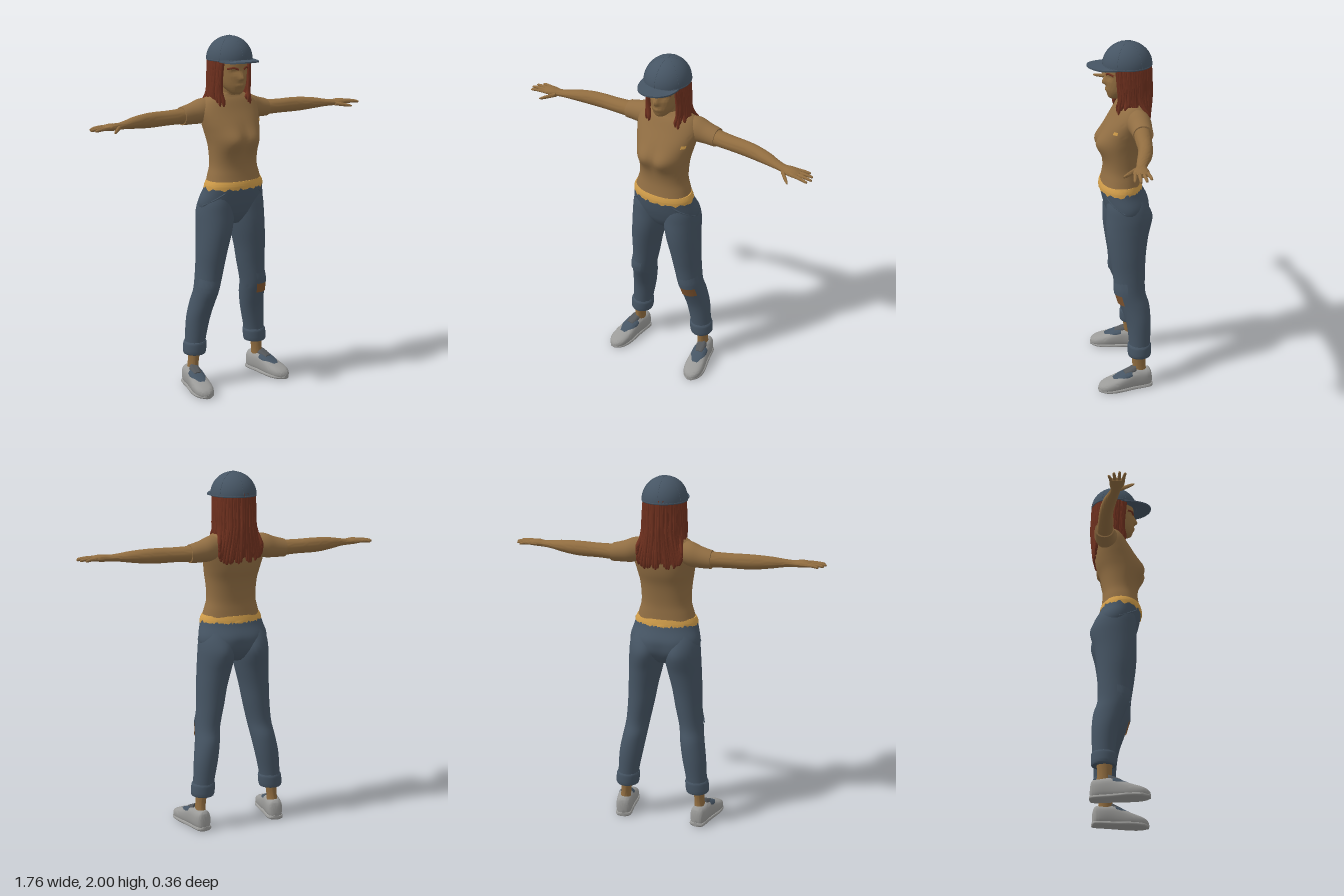
import * as THREE from 'three';
import { toCreasedNormals } from 'three/addons/utils/BufferGeometryUtils.js';

const mat = (name, color, side = THREE.FrontSide) => {
  const m = new THREE.MeshStandardMaterial({ color, side });
  m.name = name;
  return m;
};

// Catmull-Rom smoothing of rows of numbers
function smooth(rows, n) {
  const out = [], at = i => rows[Math.max(0, Math.min(rows.length - 1, i))];
  for (let i = 0; i < rows.length - 1; i++) {
    for (let k = 0; k < n; k++) {
      const t = k / n, [a, b, c, d] = [at(i - 1), at(i), at(i + 1), at(i + 2)];
      out.push(b.map((v, j) => 0.5 * (2 * v + (c[j] - a[j]) * t
        + (2 * a[j] - 5 * v + 4 * c[j] - d[j]) * t * t + (3 * v - a[j] - 3 * c[j] + d[j]) * t ** 3)));
    }
  }
  out.push(rows[rows.length - 1]);
  return out;
}

// Skin rows of [t, centreP, centreQ, radiusP, radiusQ] along an axis, t increasing.
// axis y: p = x, q = z; axis x: p = z, q = y; axis z: p = y, q = x
function loft(rows, { axis = 'y', seg = 28, steps = 4, pow = 1, mod, arc, mirror = 1 } = {}) {
  const place = {
    y: (t, p, q) => new THREE.Vector3(p, t, q),
    x: (t, p, q) => new THREE.Vector3(t, q, p),
    z: (t, p, q) => new THREE.Vector3(q, p, t),
  }[axis];
  const rings = smooth(rows, steps), pos = [], index = [];
  const [a0, a1] = arc || [0, Math.PI * 2], cols = arc ? seg + 1 : seg;
  const bend = v => Math.sign(v) * Math.abs(v) ** pow;
  const add = v => { if (mod) mod(v); pos.push(v.x * mirror, v.y, v.z); };
  const tri = (a, b, c) => (mirror > 0 ? index.push(a, b, c) : index.push(a, c, b));
  for (const [t, p, q, rp, rq] of rings) {
    for (let j = 0; j < cols; j++) {
      const a = a0 + (a1 - a0) * j / seg;
      add(place(t, p + rp * bend(Math.cos(a)), q + rq * bend(Math.sin(a))));
    }
  }
  for (let i = 0; i < rings.length - 1; i++) {
    for (let j = 0; j < seg; j++) {
      const k = (j + 1) % cols, a = i * cols + j, b = i * cols + k, c = a + cols, d = b + cols;
      tri(a, c, b);
      tri(b, c, d);
    }
  }
  if (!arc) {
    const last = (rings.length - 1) * cols, c0 = rings.length * cols;
    for (const r of [rings[0], rings[rings.length - 1]]) add(place(r[0], r[1], r[2]));
    for (let j = 0; j < seg; j++) {
      const k = (j + 1) % seg;
      tri(c0, j, k);
      tri(c0 + 1, last + k, last + j);
    }
  }
  const g = new THREE.BufferGeometry();
  g.setAttribute('position', new THREE.Float32BufferAttribute(pos, 3));
  g.setIndex(index);
  return toCreasedNormals(g, 1);
}

const bump = (x, cx, w) => Math.exp(-(((x - cx) / w) ** 2));

export function createModel() {
  const root = new THREE.Group();
  root.name = 'figure';
  const skin = mat('skin', 0x916d40), shirt = mat('shirt tan', 0x916e43);
  const denim = mat('denim blue', 0x465564, THREE.DoubleSide), gold = mat('gold cloth', 0xd29e4a, THREE.DoubleSide);
  const hair = mat('auburn hair', 0x6e301e, THREE.DoubleSide), shoe = mat('shoe grey', 0x9b9b99);
  const dark = mat('dark grey', 0x55585b), patch = mat('worn brown', 0x80552f, THREE.DoubleSide);
  const put = (name, geo, m, parent = root) => {
    const o = new THREE.Mesh(geo, m);
    o.name = name;
    parent.add(o);
    return o;
  };
  let seed = 7;
  const rand = () => (seed = (seed * 16807) % 2147483647) / 2147483647;

  // Shirt body with bust
  put('shirtBody', loft([
    [1.19, 0, 0, 0.168, 0.114], [1.24, 0, -0.003, 0.154, 0.105], [1.3, 0, -0.005, 0.14, 0.1],
    [1.4, 0, -0.008, 0.145, 0.11], [1.47, 0, -0.02, 0.158, 0.12], [1.53, 0, -0.033, 0.172, 0.118],
    [1.6, 0, -0.055, 0.182, 0.1], [1.65, 0, -0.062, 0.155, 0.08], [1.675, 0, -0.06, 0.11, 0.06],
    [1.69, 0, -0.055, 0.065, 0.05],
  ], { seg: 48, pow: 0.9, mod: v => {
    if (v.z > 0) v.z += 0.04 * bump(Math.abs(v.x), 0.06, 0.07) * bump(v.y, 1.44, 0.06);
  } }), shirt);
  put('chestSpot', loft([[1.523, 0, -0.031, 0.1745, 0.122], [1.54, 0, -0.036, 0.177, 0.119]],
    { seg: 6, steps: 2, pow: 0.9, arc: [0.5, 0.72] }), gold);

  // Frayed hem below the shirt
  put('frayedHem', loft([[1.168, 0, -0.002, 0.181, 0.121], [1.19, 0, 0, 0.178, 0.119], [1.212, 0, 0, 0.168, 0.113]],
    { seg: 72, mod: v => {
      const a = Math.atan2(v.z, v.x);
      if (v.y < 1.18) v.y -= 0.008 * (Math.sin(13 * a) + Math.sin(23 * a + 1)) * (v.z < 0 ? 1.2 : 0.6);
    } }), gold);

  // Trousers: hips, legs, cuffs
  const seat = v => {
    if (v.z < 0) v.z -= 0.015 * bump(Math.abs(v.x), 0.085, 0.06) * bump(v.y, 1.02, 0.07);
  };
  put('hips', loft([
    [0.955, 0, -0.035, 0.06, 0.06], [0.98, 0, -0.037, 0.11, 0.085], [1.02, 0, -0.036, 0.175, 0.108],
    [1.06, 0, -0.033, 0.198, 0.12], [1.1, 0, -0.027, 0.199, 0.126], [1.15, 0, -0.01, 0.185, 0.12],
    [1.18, 0, -0.002, 0.178, 0.117],
  ], { seg: 48, mod: seat }), denim);

  for (const s of [1, -1]) {
    const side = s > 0 ? 'left' : 'right', o = { mirror: s };
    put(side + 'TrouserLeg', loft([
      [0.21, 0.208, -0.09, 0.06, 0.06], [0.28, 0.203, -0.09, 0.06, 0.061], [0.4, 0.187, -0.085, 0.068, 0.07],
      [0.5, 0.17, -0.065, 0.068, 0.083], [0.58, 0.158, -0.04, 0.068, 0.086], [0.7, 0.14, -0.035, 0.076, 0.092],
      [0.8, 0.129, -0.03, 0.084, 0.102], [0.9, 0.114, -0.03, 0.094, 0.115], [0.97, 0.105, -0.034, 0.1, 0.122],
      [1.03, 0.1, -0.035, 0.102, 0.121], [1.09, 0.096, -0.027, 0.097, 0.111], [1.15, 0.09, -0.015, 0.08, 0.09],
    ], { ...o, mod: seat }), denim);
    put(side + 'Cuff', loft([[0.195, 0.21, -0.089, 0.062, 0.064], [0.21, 0.21, -0.089, 0.067, 0.067],
      [0.255, 0.206, -0.089, 0.067, 0.067], [0.268, 0.205, -0.089, 0.062, 0.063]], o), denim);

    // Loose knee fold and pocket edge
    put(side + 'KneeFlap', loft([[0.578, 0.159, -0.04, 0.074, 0.091], [0.61, 0.154, -0.038, 0.075, 0.092],
      [0.66, 0.146, -0.037, 0.072, 0.088]], { ...o, seg: 14, arc: [0.2, 1.9] }), denim);
    put(side + 'Pocket', new THREE.TubeGeometry(new THREE.CatmullRomCurve3([[0.11, 1.15, 0.088],
      [0.155, 1.115, 0.055], [0.198, 1.075, -0.008]].map(([x, y, z]) => new THREE.Vector3(x * s, y, z))),
    12, 0.004, 6), denim);

    // Ankle and shoe, toes turned slightly out
    put(side + 'Ankle', loft([[0.07, 0.226, -0.09, 0.032, 0.045], [0.14, 0.222, -0.085, 0.028, 0.038],
      [0.24, 0.214, -0.085, 0.036, 0.045]], o), skin);
    const foot = new THREE.Group();
    foot.name = side + 'Shoe';
    foot.position.set(0.232 * s, 0, -0.08);
    foot.rotation.y = 0.17 * s;
    root.add(foot);
    const z = { axis: 'z', pow: 0.75, mirror: s };
    put('shoeBody', loft([
      [-0.077, 0.045, 0, 0.035, 0.02], [-0.065, 0.055, 0, 0.055, 0.038], [-0.03, 0.056, 0, 0.057, 0.046],
      [0.03, 0.058, 0, 0.06, 0.048], [0.08, 0.05, 0, 0.053, 0.052], [0.14, 0.038, 0, 0.041, 0.057],
      [0.19, 0.03, 0, 0.032, 0.052], [0.22, 0.024, 0, 0.024, 0.035], [0.234, 0.02, 0, 0.013, 0.015],
    ], { ...z, mod: v => { v.y = Math.max(v.y, 0.004); } }), shoe, foot);
    put('shoeSole', loft([
      [-0.08, 0.012, 0, 0.012, 0.025], [-0.06, 0.012, 0, 0.012, 0.045], [0.03, 0.012, 0, 0.012, 0.051],
      [0.14, 0.012, 0, 0.012, 0.062], [0.2, 0.012, 0, 0.012, 0.05], [0.235, 0.012, 0, 0.01, 0.018],
    ], { ...z, pow: 0.6 }), shoe, foot);
    put('shoeVamp', loft([[0.045, 0.075, 0, 0.044, 0.045], [0.08, 0.068, 0, 0.038, 0.047],
      [0.12, 0.06, 0, 0.028, 0.044], [0.15, 0.055, 0, 0.021, 0.034]], z), denim, foot);
    put('shoeTongue', loft([[0.018, 0.11, 0, 0.028, 0.026], [0.04, 0.105, 0, 0.024, 0.03],
      [0.085, 0.09, 0, 0.019, 0.024]], z), dark, foot);

    // Sleeve, arm and hand
    const x = { axis: 'x', mirror: s };
    put(side + 'Sleeve', loft([[0.09, -0.07, 1.602, 0.06, 0.056], [0.16, -0.083, 1.592, 0.066, 0.068],
      [0.22, -0.09, 1.58, 0.058, 0.058], [0.28, -0.092, 1.572, 0.054, 0.05]], x), shirt);
    put(side + 'Arm', loft([
      [0.24, -0.092, 1.572, 0.047, 0.044], [0.36, -0.084, 1.572, 0.043, 0.04], [0.45, -0.08, 1.572, 0.039, 0.041],
      [0.52, -0.072, 1.572, 0.038, 0.039], [0.6, -0.055, 1.572, 0.036, 0.031], [0.66, -0.038, 1.57, 0.03, 0.022],
      [0.71, -0.026, 1.568, 0.028, 0.018], [0.75, -0.02, 1.57, 0.038, 0.019], [0.78, -0.018, 1.57, 0.041, 0.016],
      [0.805, -0.018, 1.568, 0.037, 0.01],
    ], x), skin);
    const fingers = [[-0.047, 0.848, -0.06], [-0.028, 0.872, -0.034], [-0.008, 0.882, -0.004], [0.011, 0.87, 0.024]];
    for (const [base, tip, end] of fingers) {
      put(side + 'Finger', loft([[0.775, base, 1.57, 0.0105, 0.011], [(0.775 + tip) / 2, (base + end) / 2, 1.57, 0.009, 0.009],
        [tip - 0.008, end, 1.566, 0.007, 0.007], [tip, end, 1.565, 0.003, 0.003]], { ...x, seg: 10 }), skin);
    }
    put(side + 'Thumb', loft([[0.715, -0.005, 1.565, 0.018, 0.013], [0.745, 0.03, 1.56, 0.014, 0.011],
      [0.768, 0.054, 1.556, 0.011, 0.009], [0.782, 0.069, 1.554, 0.004, 0.004]], { ...x, seg: 10 }), skin);

    // Brow
    put(side + 'Brow', new THREE.TubeGeometry(new THREE.CatmullRomCurve3([[0.014, 1.823, 0.072],
      [0.038, 1.833, 0.063], [0.066, 1.826, 0.038]].map(([a, b, c]) => new THREE.Vector3(a * s, b, c))), 8, 0.006, 6), hair);
  }

  // Worn patch showing through the left knee
  put('kneePatch', loft([[0.52, 0.167, -0.058, 0.0725, 0.0895], [0.585, 0.158, -0.039, 0.0725, 0.0895]],
    { seg: 10, arc: [0.65, 1.9] }), patch);

  // Neck and head with modelled nose, eye hollows and lips
  put('neck', loft([[1.6, 0, -0.06, 0.06, 0.055], [1.67, 0, -0.05, 0.05, 0.05], [1.75, 0, -0.035, 0.05, 0.05]]), skin);
  put('head', loft([
    [1.685, 0, 0.03, 0.018, 0.022], [1.698, 0, 0.022, 0.038, 0.043], [1.73, 0, 0, 0.062, 0.073],
    [1.77, 0, -0.015, 0.075, 0.09], [1.82, 0, -0.025, 0.082, 0.1], [1.87, 0, -0.035, 0.086, 0.108],
    [1.91, 0, -0.04, 0.08, 0.1],
  ], { seg: 64, steps: 7, mod: v => {
    if (v.z < 0.01) return;
    const nose = v.y < 1.775 ? bump(v.y, 1.775, 0.012) : bump(v.y, 1.775, 0.035);
    v.z += 0.022 * nose * bump(v.x, 0, 0.015) + 0.007 * bump(v.y, 1.736, 0.011) * bump(v.x, 0, 0.025)
      - 0.01 * bump(v.y, 1.812, 0.014) * bump(Math.abs(v.x), 0.035, 0.018);
  } }), skin);

  // Hair: an inner curtain behind the face and rows of hanging locks
  const open = 0.62, span = [Math.PI - open, 2 * Math.PI + open];
  put('hairCurtain', loft([[1.61, 0, -0.056, 0.11, 0.108], [1.75, 0, -0.05, 0.108, 0.113],
    [1.89, 0, -0.042, 0.106, 0.12]], { seg: 36, arc: span }), hair);
  const locks = 62;
  for (let i = 0; i < locks; i++) {
    const a = span[0] + (span[1] - span[0]) * i / (locks - 1), c = Math.cos(a), d = Math.sin(a);
    const back = Math.max(0, -d), r = 0.97 + 0.07 * rand(), w = 0.008 + 0.004 * rand();
    const low = 1.605 - 0.1 * Math.min(1, back * 1.3) + 0.04 * rand();
    const endX = 0.113 * c * (1 + 0.5 * back) * (d > 0.2 ? 0.8 + 0.3 * rand() : 1);
    const endZ = back > 0.25 ? -0.157 + 0.15 * Math.abs(endX) : -0.05 + 0.125 * d;
    put('hairLock', loft([
      [low, endX, endZ, 0.004, 0.004], [low + 0.03, endX, endZ, w, w],
      [1.7, 0.113 * r * c, -0.052 + 0.114 * r * d, w, w], [1.78, 0.113 * c, -0.048 + 0.115 * r * d, w, w],
      [1.89, 0.106 * c, -0.042 + 0.12 * d, w, w],
    ], { seg: 7, steps: 3 }), hair);
  }

  // Cap: dome, raised seams, button and curved brim
  const cap = new THREE.Group();
  cap.name = 'cap';
  cap.position.set(0, 1.872, -0.04);
  root.add(cap);
  put('capDome', new THREE.SphereGeometry(1, 40, 20, 0, Math.PI * 2, 0, Math.PI / 2).scale(0.124, 0.126, 0.134), denim, cap);
  for (let i = 0; i < 3; i++) {
    put('capSeam', new THREE.TorusGeometry(1, 0.008, 5, 40, Math.PI).rotateY(Math.PI / 6 + i * Math.PI / 3)
      .scale(0.124, 0.126, 0.134), denim, cap);
  }
  put('capButton', new THREE.SphereGeometry(0.01, 12, 8).scale(1, 0.4, 1).translate(0, 0.125, 0), denim, cap);
  put('capBand', new THREE.TorusGeometry(1, 0.025, 6, 48).rotateX(Math.PI / 2).scale(0.122, 0.2, 0.132), denim, cap);
  put('capBrim', loft([[-0.003, 0, 0.07, 0.109, 0.148], [0.005, 0, 0.07, 0.109, 0.148]], { seg: 40, steps: 1, mod: v => {
    v.z = Math.max(v.z, 0.02);
    v.y -= 0.8 * v.x * v.x * Math.min(1, v.z / 0.15);
  } }), denim, cap);
  return root;
}
